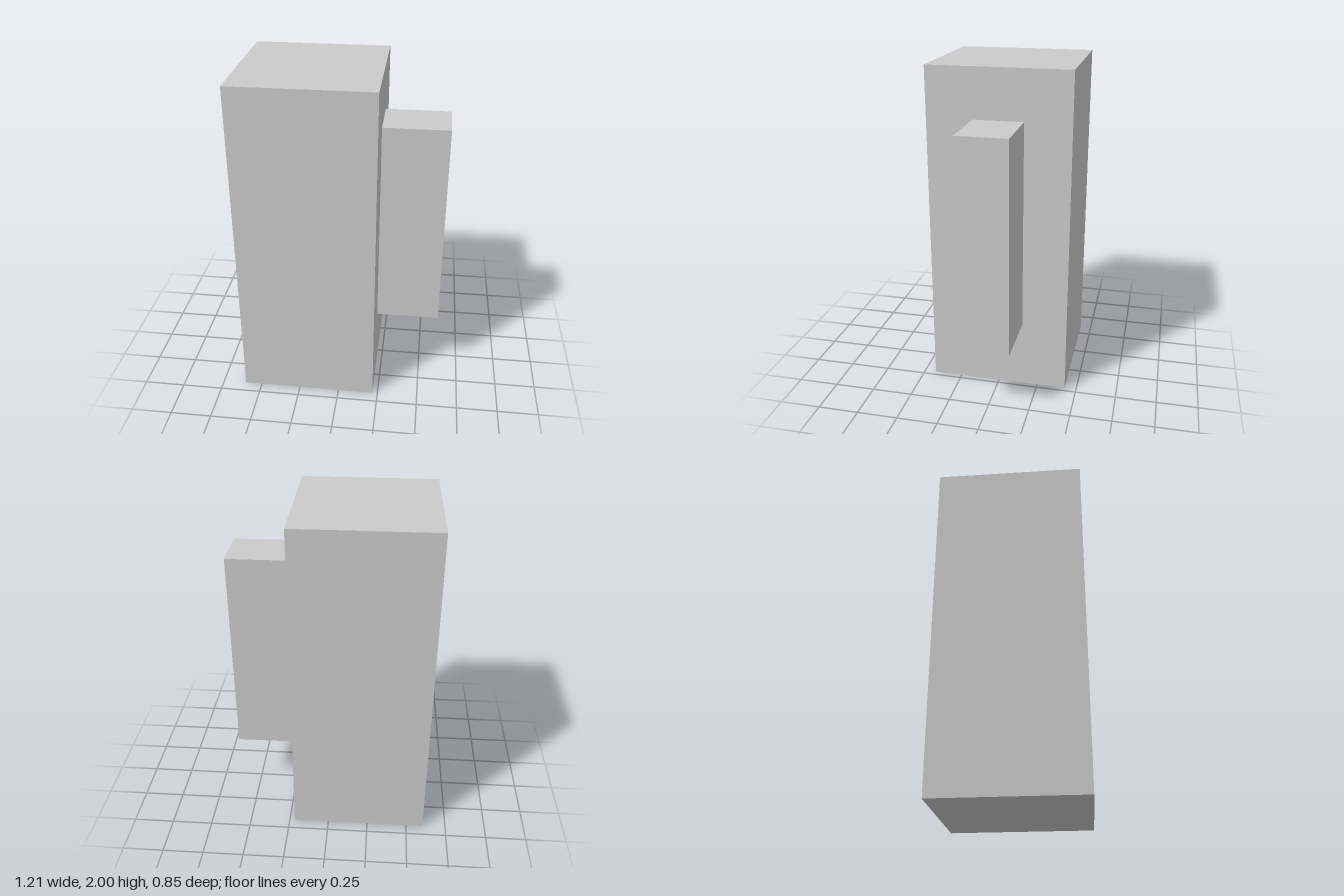
import * as THREE from 'three';

const material = new THREE.MeshStandardMaterial({ color: 0xcccccc, flatShading: true });

// Box given by its lower and upper corners
function block(name, min, max) {
  const size = max.map((v, i) => v - min[i]);
  const mesh = new THREE.Mesh(new THREE.BoxGeometry(...size), material);
  mesh.position.set(...max.map((v, i) => (v + min[i]) / 2));
  mesh.name = name;
  return mesh;
}

export function createModel() {
  const group = new THREE.Group();
  group.name = 'mug';
  // Tall square body
  group.add(block('body', [-0.605, 0, -0.427], [0.218, 2, 0.427]));
  // Solid side handle, butted against the body
  group.add(block('handle', [0.218, 0.42, -0.15], [0.605, 1.7, 0.15]));
  return group;
}
